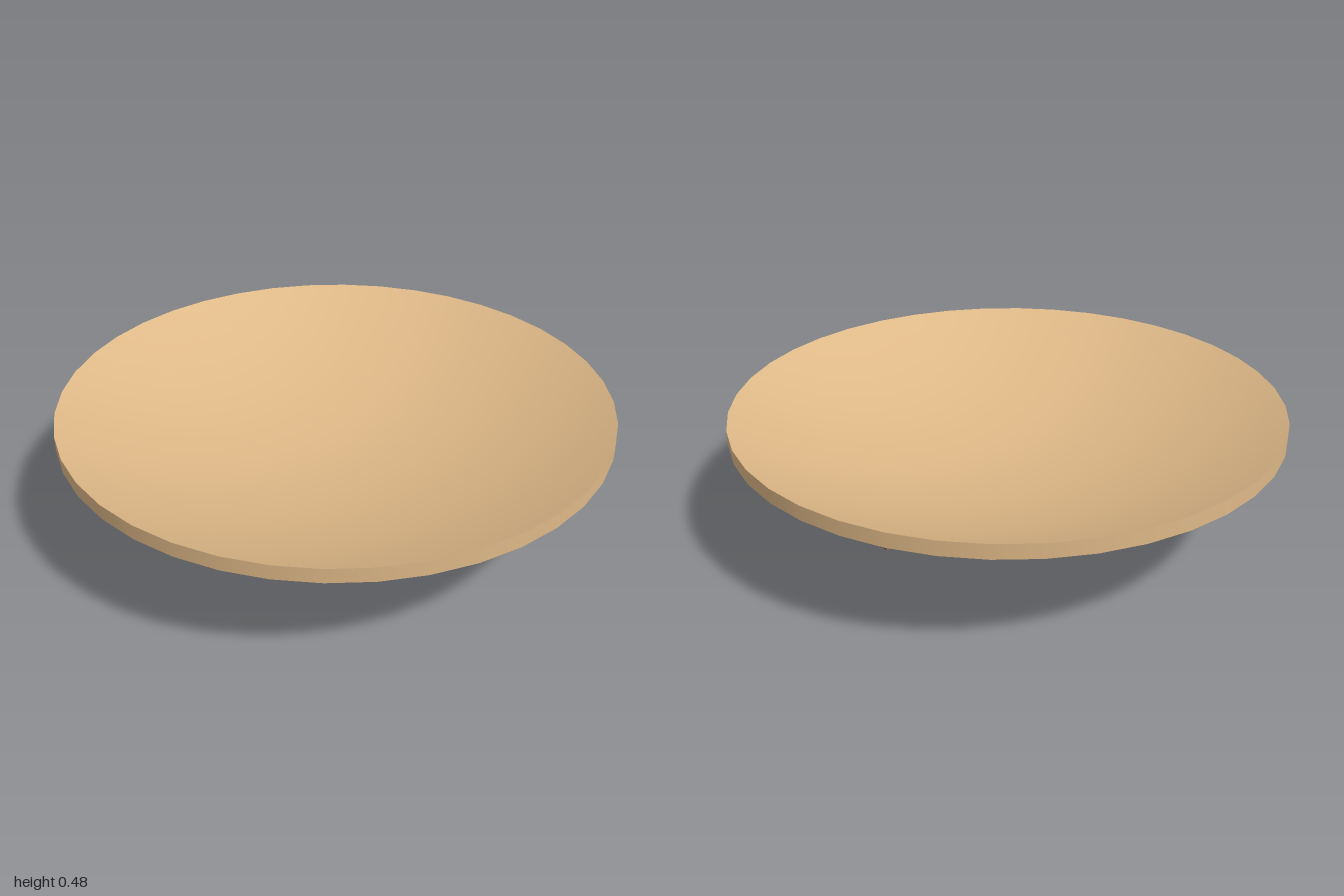
import * as THREE from 'three';

const SEGMENTS = 40;
const RIM_BOTTOM = 0.425;
const RIM_TOP = 0.477;
const BOWL_DEPTH = 0.235;

// Parabolic profile running out from the axis and ending at the rim height
function bowlProfile(rimY, steps = 20) {
  return Array.from({ length: steps + 1 }, (_, i) => {
    const r = i / steps;
    return new THREE.Vector2(r, rimY - BOWL_DEPTH * (1 - r * r));
  });
}

export function createModel() {
  const group = new THREE.Group();
  const paleWood = new THREE.MeshStandardMaterial({ color: 0xdeb887 });
  const darkWood = new THREE.MeshStandardMaterial({ color: 0x8b6f4e });

  const add = (name, geometry, material, y = 0, parent = group) => {
    const mesh = new THREE.Mesh(geometry, material);
    mesh.name = name;
    mesh.position.y = y;
    parent.add(mesh);
    return mesh;
  };

  // Shallow round board: separate lathes keep the rim edges sharp
  const board = new THREE.Group();
  board.name = 'dishBoard';
  group.add(board);
  const rim = [new THREE.Vector2(1, RIM_BOTTOM), new THREE.Vector2(1, RIM_TOP)];
  add('underside', new THREE.LatheGeometry(bowlProfile(RIM_BOTTOM), SEGMENTS), paleWood, 0, board);
  add('rim', new THREE.LatheGeometry(rim, SEGMENTS), paleWood, 0, board);
  add('hollowTop', new THREE.LatheGeometry(bowlProfile(RIM_TOP).reverse(), SEGMENTS), paleWood, 0, board);

  // Cross bar and the ball it balances on
  add('crossBar', new THREE.BoxGeometry(1.2, 0.08, 0.08), darkWood, 0.143);
  add('pivotBall', new THREE.SphereGeometry(0.103, 32, 20), darkWood, 0.103);

  return group;
}
